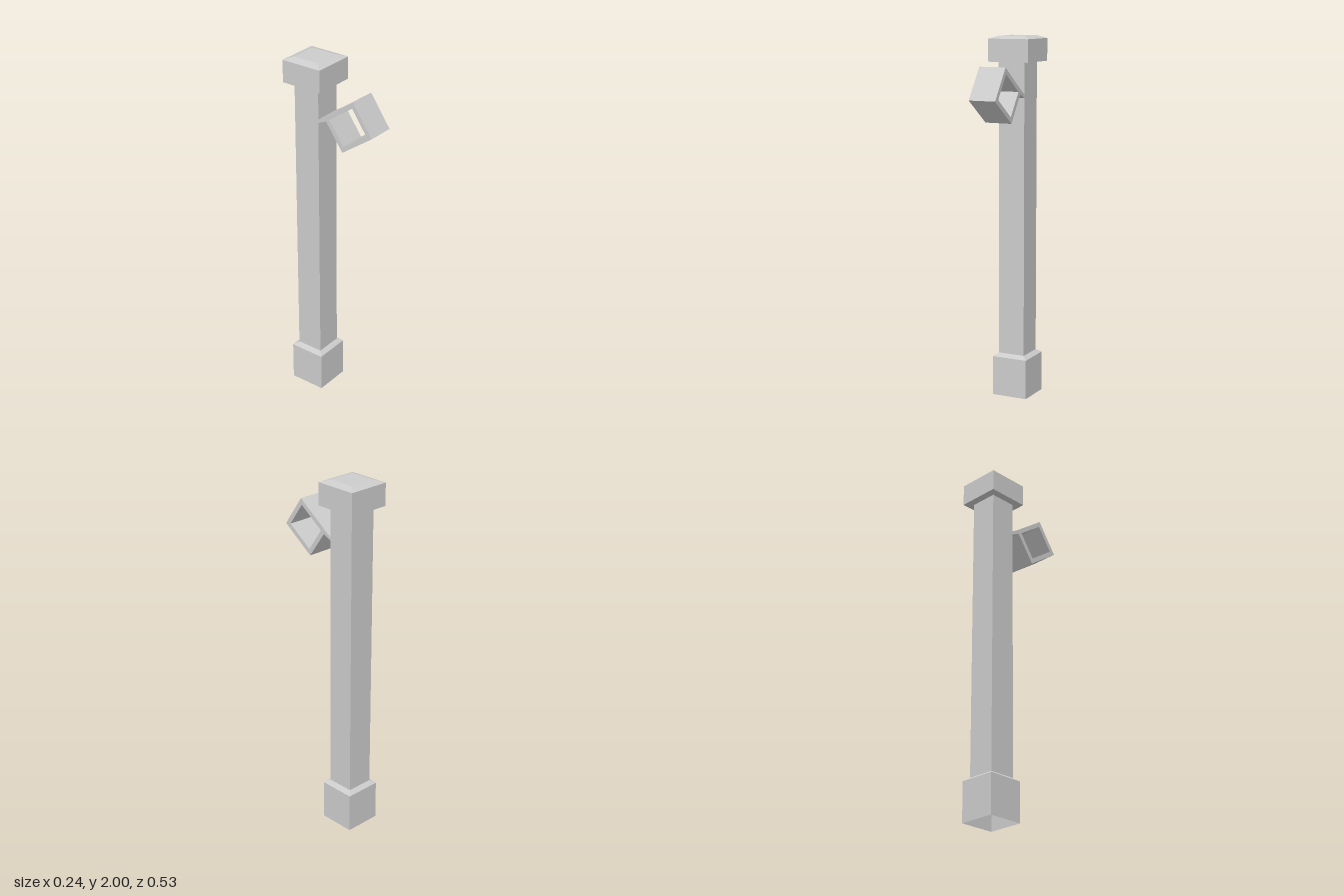
import * as THREE from 'three';

const HALF = 0.077;   // half width of the shaft and the bracket
const POST_Z = -0.15; // the post stands behind the centre

export function createModel() {
  const model = new THREE.Group();
  const material = new THREE.MeshStandardMaterial({
    color: 0xcccccc, flatShading: true, side: THREE.DoubleSide,
  });
  const add = (name, geometry) => {
    const mesh = new THREE.Mesh(geometry, material);
    mesh.name = name;
    model.add(mesh);
    return mesh;
  };

  // Square section swept from [half width, height] pairs
  const squareLathe = (profile) => {
    const points = profile.map(([half, y]) => new THREE.Vector2(half * Math.SQRT2, y));
    return new THREE.LatheGeometry(points, 4).rotateY(Math.PI / 4);
  };

  // Post: base open below, bevelled shoulder, shaft and bevelled cap
  const parts = {
    base: [[0.103, 0], [0.103, 0.222], [HALF, 0.24]],
    shaft: [[HALF, 0.24], [HALF, 1.862]],
    cap: [[HALF, 1.862], [0.119, 1.862], [0.119, 1.985], [HALF, 2], [0, 2]],
  };
  for (const [name, profile] of Object.entries(parts)) {
    add(name, squareLathe(profile)).position.z = POST_Z;
  }

  // Tilted hollow frame with its arm to the post, drawn as [z, y]
  const toPoints = (list) => list.map(([z, y]) => new THREE.Vector2(z, y));
  const outline = new THREE.Shape(toPoints([
    [0.148, 1.846], [0.266, 1.678], [0.081, 1.547],
    [-0.024, 1.695], [-0.075, 1.67], [-0.075, 1.69], [-0.037, 1.714],
  ]));
  outline.holes.push(new THREE.Path(toPoints([
    [0.142, 1.811], [0.231, 1.684], [0.087, 1.582], [-0.002, 1.709],
  ])));
  const frame = new THREE.ExtrudeGeometry(outline, { depth: 2 * HALF, bevelEnabled: false });
  frame.translate(0, 0, -HALF).rotateY(-Math.PI / 2);
  add('hangingFrame', frame);

  return model;
}
